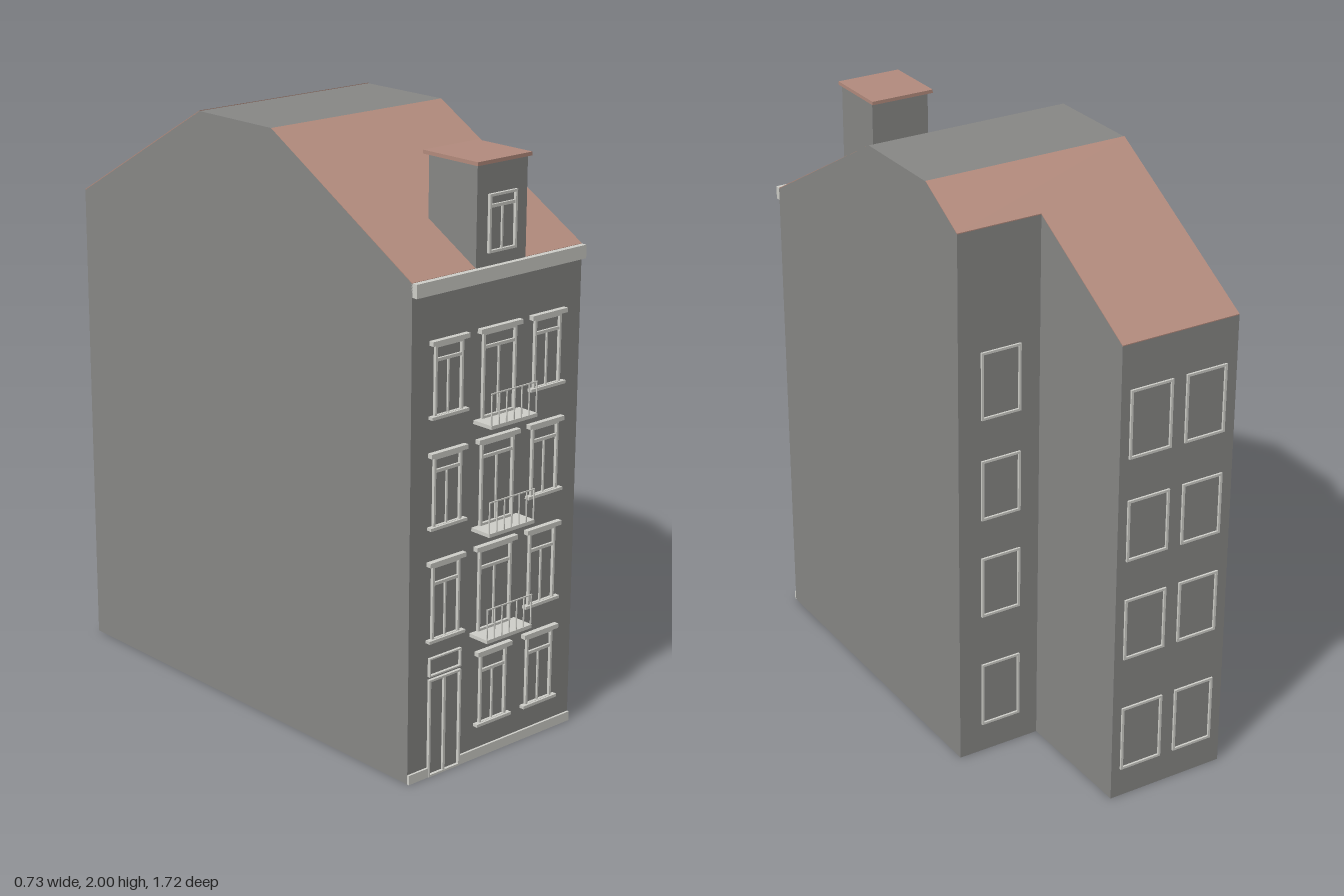
import * as THREE from 'three';

const wallMat = new THREE.MeshStandardMaterial({ name: 'grey wall', color: 0x888886 });
const trimMat = new THREE.MeshStandardMaterial({ name: 'pale trim', color: 0xd0d0ca });
const roofMat = new THREE.MeshStandardMaterial({ name: 'clay roof', color: 0xb48c7e });

const FRONT = 0.785, BACK = -0.852, STEP = -0.4;
const LEFT = 0.362, RIGHT = -0.365, WING = 0.063;
const EAVE = 1.632, TOP = 2, RIDGE_F = 0.14, RIDGE_B = -0.215;

// Box given by its limits on each axis
function box(parent, name, mat, x0, x1, y0, y1, z0, z1) {
  const mesh = new THREE.Mesh(new THREE.BoxGeometry(x1 - x0, y1 - y0, z1 - z0), mat);
  mesh.position.set((x0 + x1) / 2, (y0 + y1) / 2, (z0 + z1) / 2);
  mesh.name = name;
  parent.add(mesh);
}

// Side profile of [z, y] points, extruded across the width
function profile(parent, name, mat, points, x0, x1) {
  const shape = new THREE.Shape(points.map(([z, y]) => new THREE.Vector2(-z, y)));
  const geo = new THREE.ExtrudeGeometry(shape, { depth: x1 - x0, bevelEnabled: false });
  geo.rotateY(Math.PI / 2).translate(x0, 0, 0);
  const mesh = new THREE.Mesh(geo, mat);
  mesh.name = name;
  parent.add(mesh);
}

// Rectangular frame with a hole, lying on a wall from z0 to z1
function frame(parent, name, x0, x1, y0, y1, z0, z1, t) {
  const rect = (P, a, b, c, d) =>
    new P([[a, c], [b, c], [b, d], [a, d]].map(p => new THREE.Vector2(...p)));
  const shape = rect(THREE.Shape, x0, x1, y0, y1);
  shape.holes.push(rect(THREE.Path, x0 + t, x1 - t, y0 + t, y1 - t));
  const geo = new THREE.ExtrudeGeometry(shape, { depth: z1 - z0, bevelEnabled: false });
  const mesh = new THREE.Mesh(geo.translate(0, 0, z0), trimMat);
  mesh.name = name;
  parent.add(mesh);
}

// Front window: frame, transom and a mullion below it
function frontWindow(parent, x, halfW, y0, y1, transom, z = FRONT) {
  const g = new THREE.Group();
  g.name = 'frontWindow';
  frame(g, 'windowFrame', x - halfW, x + halfW, y0, y1, z, z + 0.01, 0.008);
  box(g, 'transom', trimMat, x - halfW, x + halfW, transom - 0.005, transom + 0.005, z, z + 0.008);
  box(g, 'mullion', trimMat, x - 0.003, x + 0.003, y0, transom, z, z + 0.006);
  parent.add(g);
  return g;
}

// Balcony slab with a light front railing
function balcony(parent, y) {
  const g = new THREE.Group();
  g.name = 'balcony';
  box(g, 'balconySlab', trimMat, -0.102, 0.098, y, y + 0.012, FRONT, 0.865);
  for (let i = 0; i <= 6; i++) {
    const x = -0.1 + i * 0.0325;
    box(g, 'railingBar', trimMat, x - 0.0015, x + 0.0015, y + 0.012, y + 0.115, 0.86, 0.864);
  }
  box(g, 'topRail', trimMat, -0.102, 0.098, y + 0.112, y + 0.116, 0.86, 0.864);
  parent.add(g);
}

export function createModel() {
  const house = new THREE.Group();
  house.name = 'townHouse';

  // Walls: a full-width front block and a narrower rear wing
  const slopeY = z => TOP + (TOP - EAVE) * (z - RIDGE_B) / (RIDGE_B - BACK);
  const cutY = slopeY(STEP);
  profile(house, 'frontBlock', wallMat, [[FRONT, 0], [STEP, 0], [STEP, cutY],
    [RIDGE_B, TOP], [RIDGE_F, TOP], [FRONT, EAVE]], RIGHT, LEFT);
  profile(house, 'rearWing', wallMat,
    [[STEP, 0], [BACK, 0], [BACK, EAVE], [STEP, cutY]], RIGHT, WING);

  // Tiled slopes as thin sheets
  const slope = (name, [za, ya], [zb, yb], x0, x1) => profile(house, name, roofMat,
    [[za, ya], [zb, yb], [zb, yb + 0.003], [za, ya + 0.003]], x0, x1);
  slope('frontSlope', [FRONT, EAVE], [RIDGE_F, TOP - 0.003], RIGHT, LEFT);
  slope('rearSlope', [RIDGE_B, TOP - 0.001], [STEP, cutY], RIGHT, LEFT);
  slope('wingSlope', [STEP, cutY], [BACK, EAVE], RIGHT, WING);

  // Plinth, with a gap for the door, and cornice
  box(house, 'plinth', trimMat, RIGHT, -0.28, 0, 0.032, FRONT, 0.793);
  box(house, 'plinth', trimMat, -0.145, LEFT, 0, 0.032, FRONT, 0.793);
  box(house, 'cornice', trimMat, RIGHT, LEFT, 1.59, 1.634, FRONT - 0.005, 0.805);

  // Front windows: sill, lintel and transom heights per floor
  const floors = [
    { sill: 0.115, top: 0.357, transom: 0.3 },
    { sill: 0.465, top: 0.717, transom: 0.655, balcony: 0.43 },
    { sill: 0.84, top: 1.072, transom: 1.025, balcony: 0.787 },
    { sill: 1.198, top: 1.428, transom: 1.38, balcony: 1.14 },
  ];
  for (const f of floors) {
    for (const x of [-0.215, 0, 0.211]) {
      if (!f.balcony && x < 0) continue;
      const tall = f.balcony && x === 0;
      const halfW = tall ? 0.072 : 0.059;
      const w = frontWindow(house, x, halfW, tall ? f.balcony + 0.012 : f.sill, f.top, f.transom);
      const over = halfW + 0.018;
      box(w, 'lintel', trimMat, x - over, x + over, f.top, f.top + 0.015, FRONT, 0.803);
      if (!tall) box(w, 'sill', trimMat, x - over, x + over, f.sill - 0.003, f.sill + 0.007, FRONT, 0.803);
    }
    if (f.balcony) balcony(house, f.balcony);
  }

  // Double door with a light above
  frame(house, 'doorFrame', -0.282, -0.144, 0, 0.335, FRONT, 0.795, 0.007);
  box(house, 'doorMullion', trimMat, -0.218, -0.209, 0, 0.33, FRONT, 0.793);
  frame(house, 'doorLight', -0.282, -0.144, 0.345, 0.408, FRONT, 0.795, 0.005);

  // Dormer
  box(house, 'dormerBody', wallMat, -0.105, 0.108, 1.61, 1.955, 0.577, 0.787);
  box(house, 'dormerRoof', roofMat, -0.117, 0.114, 1.953, 1.965, 0.563, 0.8);
  frontWindow(house, 0, 0.059, 1.675, 1.858, 1.82, 0.787);

  // Rear windows: two columns on the wing, one on the set-back wall
  for (const [y0, y1] of [[0.105, 0.34], [0.525, 0.745], [0.885, 1.1], [1.245, 1.48]]) {
    for (const [x0, x1, z] of [[-0.325, -0.175, BACK], [-0.125, 0.03, BACK], [0.135, 0.28, STEP]]) {
      frame(house, 'rearWindowFrame', x0, x1, y0, y1, z - 0.007, z, 0.008);
    }
  }
  return house;
}
